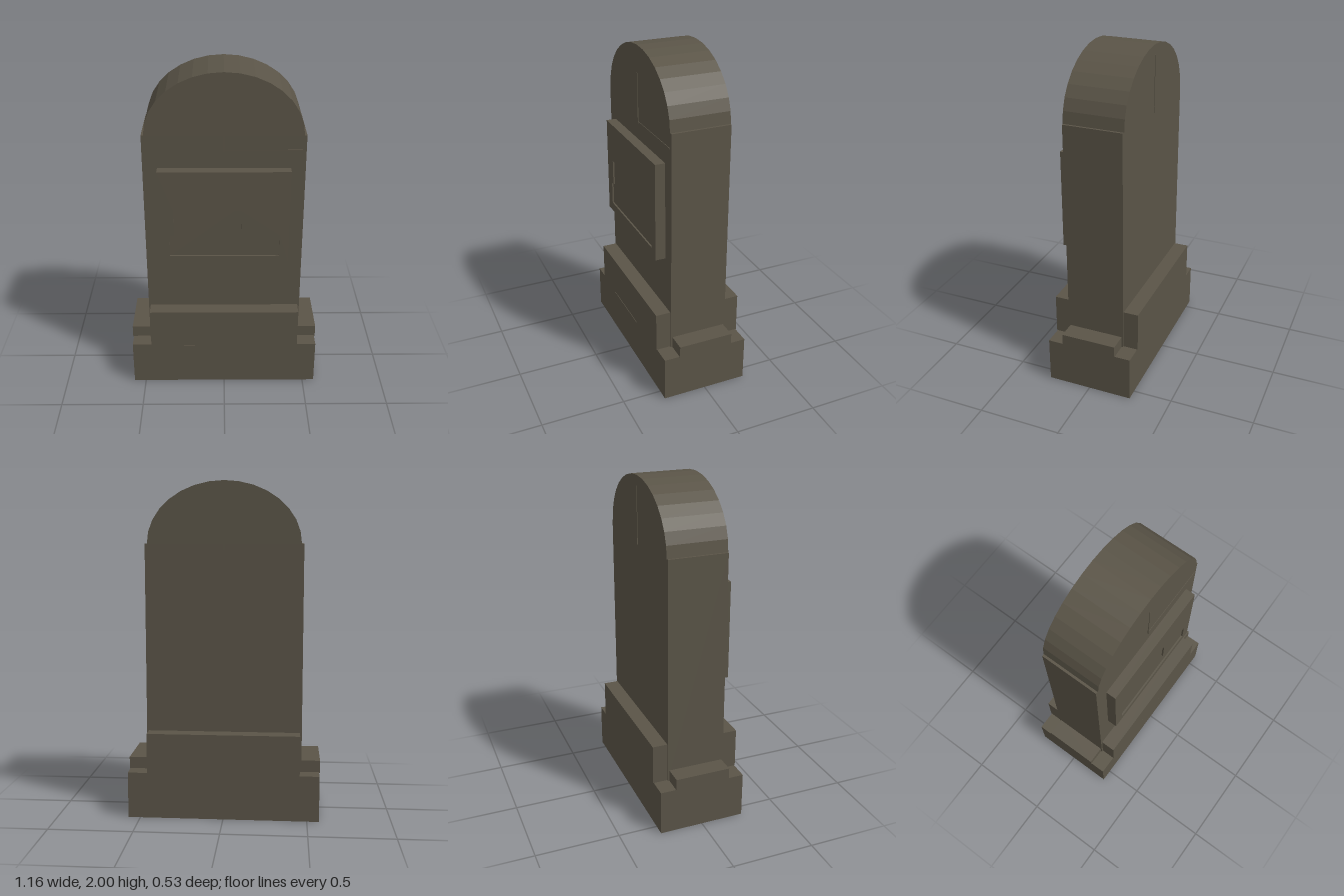
import * as THREE from 'three';

export function createModel() {
  const group = new THREE.Group();
  group.name = 'gravestone';
  const stone = new THREE.MeshStandardMaterial({ color: 0x5a5447 });
  stone.name = 'weathered stone';

  const add = (name, geometry) => {
    const mesh = new THREE.Mesh(geometry, stone);
    mesh.name = name;
    group.add(mesh);
    return mesh;
  };
  // Box given by its lower and upper limits on each axis
  const box = (name, x0, x1, y0, y1, z0, z1) =>
    add(name, new THREE.BoxGeometry(x1 - x0, y1 - y0, z1 - z0))
      .position.set((x0 + x1) / 2, (y0 + y1) / 2, (z0 + z1) / 2);

  // Plinth with raised steps on all four sides
  box('plinth', -0.572, 0.572, 0, 0.277, -0.263, 0.263);
  box('frontStep', -0.455, 0.455, 0.277, 0.518, 0.17, 0.267);
  box('backStep', -0.455, 0.455, 0.277, 0.518, -0.267, -0.17);
  box('leftStep', 0.45, 0.578, 0.272, 0.347, -0.168, 0.168);
  box('rightStep', -0.578, -0.45, 0.272, 0.347, -0.168, 0.168);

  // Upright slab
  box('slab', -0.466, 0.466, 0.277, 1.637, -0.177, 0.177);

  // Faceted arched top
  const arch = new THREE.Shape();
  const sides = 16;
  for (let i = 0; i <= sides; i++) {
    const a = (i / sides) * Math.PI;
    const x = 0.452 * Math.cos(a), y = 1.637 + 0.363 * Math.sin(a);
    if (i === 0) arch.moveTo(x, y);
    else arch.lineTo(x, y);
  }
  arch.closePath();
  const archGeometry = new THREE.ExtrudeGeometry(arch, { depth: 0.36, bevelEnabled: false });
  archGeometry.translate(0, 0, -0.18);
  add('archedTop', archGeometry);

  // Plaque with a shallow stepped recess
  const plaque = new THREE.Shape([
    [-0.382, 0.845], [0.382, 0.845], [0.382, 1.44], [-0.382, 1.44],
  ].map(p => new THREE.Vector2(...p)));
  plaque.holes.push(new THREE.Path([
    [-0.32, 0.9], [-0.32, 1.04], [-0.295, 1.04], [-0.295, 1.2],
    [0.1, 1.2], [0.1, 1.04], [0.325, 1.04], [0.325, 0.9],
  ].map(p => new THREE.Vector2(...p))));
  const plaqueGeometry = new THREE.ExtrudeGeometry(plaque, { depth: 0.01, bevelEnabled: false });
  plaqueGeometry.translate(0, 0, 0.228);
  add('plaqueFace', plaqueGeometry);
  box('plaqueBody', -0.382, 0.382, 0.845, 1.44, 0.17, 0.228);

  // Weathering seams, as very thin slivers of stone
  box('frontUprightSeam', -0.003, 0.003, 1.54, 1.84, 0.178, 0.183);
  box('frontLevelSeam', 0, 0.445, 1.545, 1.551, 0.175, 0.18);
  box('backUprightSeam', -0.003, 0.003, 1.6, 1.94, -0.183, -0.178);
  box('plinthSeam', -0.25, 0.13, 0.264, 0.269, 0.26, 0.266);

  return group;
}
